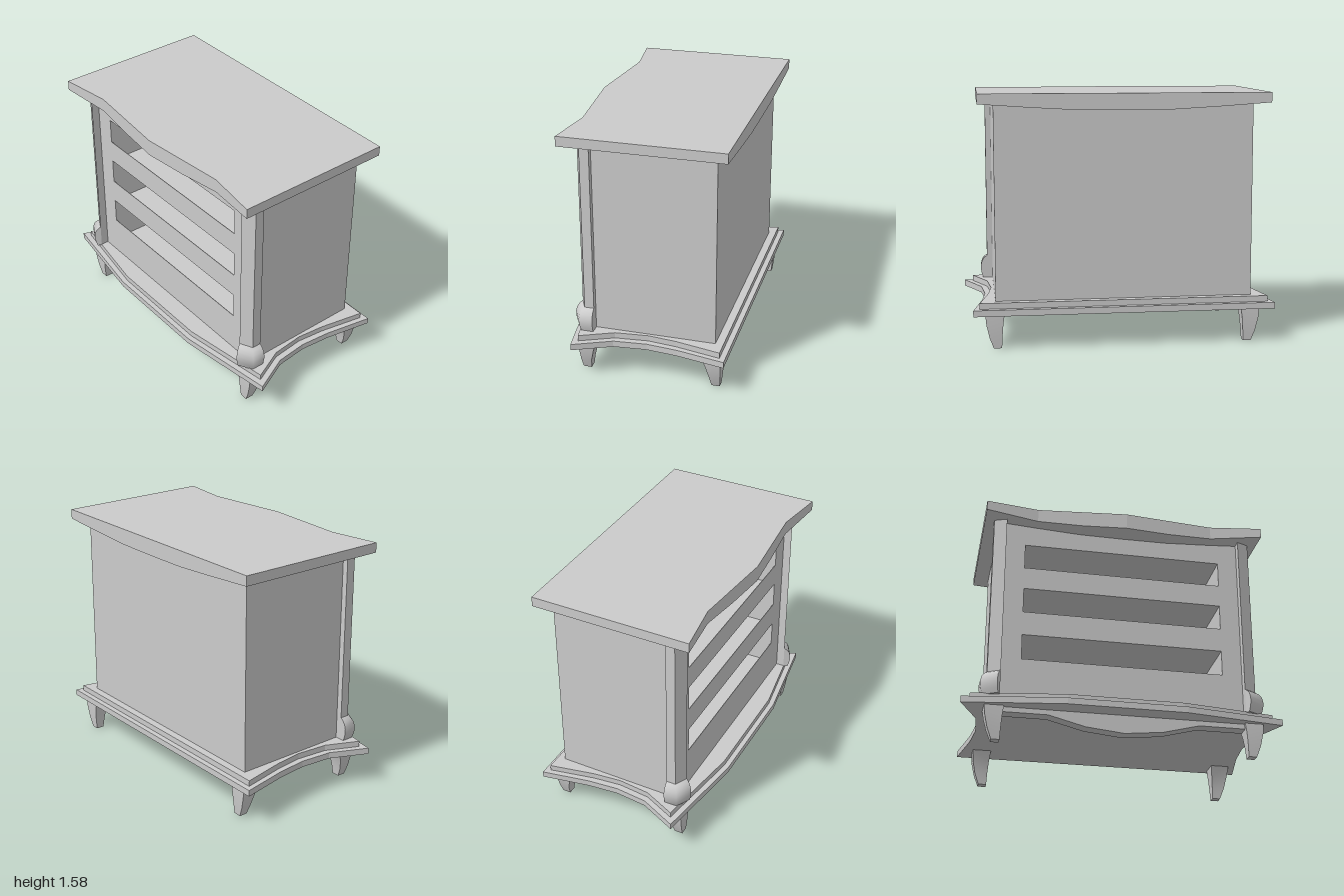
import * as THREE from 'three';
import { toCreasedNormals } from 'three/addons/utils/BufferGeometryUtils.js';

const grey = new THREE.MeshStandardMaterial({ color: 0xcccccc });

// Piecewise linear lookup in a list of [position, value]
function lerpTable(table, t) {
  for (let i = 1; i < table.length; i++) {
    const [a, va] = table[i - 1], [b, vb] = table[i];
    if (t <= b) return va + (vb - va) * Math.max(0, (t - a) / (b - a));
  }
  return table[table.length - 1][1];
}

// Symmetrical outline from the points of its +x half
function mirroredShape(half) {
  const other = half.slice().reverse().filter(([x]) => x > 0).map(([x, y]) => [-x, y]);
  return new THREE.Shape([...half, ...other].map(([x, y]) => new THREE.Vector2(x, y)));
}

// Loft through rings of equal length, with end caps
function loft(rings) {
  const n = rings[0].length, pos = rings.flat(2), index = [];
  for (let r = 0; r < rings.length - 1; r++) {
    for (let i = 0; i < n; i++) {
      const a = r * n + i, b = r * n + (i + 1) % n;
      index.push(a, b, b + n, a, b + n, a + n);
    }
  }
  const last = (rings.length - 1) * n;
  for (let i = 1; i < n - 1; i++) index.push(0, i + 1, i, last, last + i, last + i + 1);
  const g = new THREE.BufferGeometry();
  g.setAttribute('position', new THREE.Float32BufferAttribute(pos, 3));
  g.setIndex(index);
  return g;
}

// Mirror a geometry across x = 0, keeping faces outward
function mirrorX(geometry) {
  const g = geometry.clone().scale(-1, 1, 1), idx = g.index.array;
  for (let i = 0; i < idx.length; i += 3) [idx[i + 1], idx[i + 2]] = [idx[i + 2], idx[i + 1]];
  return g;
}

export function createModel() {
  const model = new THREE.Group();
  const add = (name, geometry, crease = 0.03) => {
    const mesh = new THREE.Mesh(toCreasedNormals(geometry, crease), grey);
    mesh.name = name;
    model.add(mesh);
  };
  const block = (name, x0, x1, y0, y1, z0, z1) => add(name,
    new THREE.BoxGeometry(x1 - x0, y1 - y0, z1 - z0)
      .translate((x0 + x1) / 2, (y0 + y1) / 2, (z0 + z1) / 2));
  // leftShift moves only the left copy outward
  const pair = (name, geometry, crease, leftShift = 0) => {
    add('right' + name, mirrorX(geometry), crease);
    add('left' + name, geometry.translate(leftShift, 0, 0), crease);
  };

  // Table top: serpentine front edge and sagging underside
  const frontEdge = [[0, 0.513], [0.572, 0.457], [0.907, 0.505]];
  const underside = [[0, 1.477], [0.286, 1.479], [0.572, 1.495], [0.907, 1.518]];
  const top = new THREE.BoxGeometry(1.814, 1, 1, 38, 1, 1);
  const p = top.attributes.position;
  for (let i = 0; i < p.count; i++) {
    const x = Math.abs(p.getX(i));
    p.setY(i, p.getY(i) > 0 ? 1.581 : lerpTable(underside, x));
    p.setZ(i, p.getZ(i) > 0 ? lerpTable(frontEdge, x) : -0.523);
  }
  add('tableTop', top);

  // Two stacked base plates with concave sides and bowed front
  const plate = (name, half, y, height) => add(name,
    new THREE.ExtrudeGeometry(mirroredShape(half.map(([x, z]) => [x, -z])),
      { depth: height, bevelEnabled: false }).rotateX(-Math.PI / 2).translate(0, y, 0));
  plate('lowerBasePlate',
    [[0.37, 0.523], [1, 0.43], [0.89, 0.19], [0.87, -0.02], [0.89, -0.22], [0.95, -0.525]], 0.214, 0.04);
  plate('upperBasePlate',
    [[0.36, 0.49], [0.945, 0.4], [0.85, 0.19], [0.83, -0.02], [0.85, -0.2], [0.91, -0.49]], 0.254, 0.037);

  // Thin front panel with three drawer openings
  const front = mirroredShape([[0.77, 0.28], [0.77, 1.51]]);
  for (const y of [0.554, 0.879, 1.194]) {
    front.holes.push(new THREE.Path([[-0.64, y], [-0.64, y + 0.166], [0.64, y + 0.166], [0.64, y]]
      .map(([a, b]) => new THREE.Vector2(a, b))));
  }
  add('frontPanel', new THREE.ExtrudeGeometry(front, { depth: 0.004, bevelEnabled: false })
    .translate(0, 0, 0.368));

  // Case around the drawer compartments
  block('leftSide', 0.64, 0.81, 0.28, 1.515, -0.441, 0.368);
  block('rightSide', -0.81, -0.64, 0.28, 1.515, -0.441, 0.368);
  block('caseBack', -0.64, 0.64, 0.28, 1.51, -0.441, -0.16);
  block('caseFloor', -0.64, 0.64, 0.28, 0.4, -0.16, 0.368);
  block('caseCeiling', -0.64, 0.64, 1.36, 1.5, -0.16, 0.368);
  for (const y of [0.72, 1.045]) block('drawerShelf', -0.64, 0.64, y, y + 0.004, -0.16, 0.368);

  // Chamfered corner posts
  const postPlan = [[0.768, 0.325], [0.768, 0.425], [0.847, 0.385], [0.847, 0.325]];
  pair('CornerPost', loft([0.28, 1.52].map(y => postPlan.map(([x, z]) => [x, y, z]))));

  // Rounded scroll wrapping the foot of each post
  const bulge = [[0.285, 0.028], [0.315, 0.038], [0.345, 0.044], [0.375, 0.044],
    [0.405, 0.036], [0.428, 0.02], [0.443, 0]];
  // Path point and mitred outward direction
  const scrollPath = [[0.845, 0.325, 1, 0], [0.845, 0.385, 0.95, 0.6], [0.768, 0.425, 0.47, 0.9]];
  const scrollRings = scrollPath.map(([x, z, nx, nz]) => [
    ...bulge.map(([y, d]) => [x + nx * d, y, z + nz * d]),
    [x, 0.285, z],
  ]);
  pair('PostScroll', loft(scrollRings), 1.15);

  // Tapered curved legs: [y, inner x, outer x, back z, front z]
  const legFront = [[0, 0.757, 0.808, 0.36, 0.413], [0.07, 0.754, 0.834, 0.35, 0.42],
    [0.15, 0.748, 0.852, 0.33, 0.425], [0.22, 0.739, 0.859, 0.3, 0.426]];
  const leg = sections => loft(sections.map(([y, x0, x1, z0, z1]) =>
    [[x0, y, z0], [x0, y, z1], [x1, y, z1], [x1, y, z0]]));
  pair('FrontLeg', leg(legFront), 0.5, 0.018);
  pair('BackLeg', leg(legFront.map(([y, x0, x1, z0, z1]) => [y, x0, x1, -z1 - 0.062, -z0 - 0.062])),
    0.5, 0.018);

  // Scalloped apron under the base
  add('apron', new THREE.ExtrudeGeometry(
    mirroredShape([[0, 0.097], [0.24, 0.122], [0.47, 0.182], [0.77, 0.182], [0.77, 0.22]]),
    { depth: 0.08, bevelEnabled: false }).translate(0, 0, 0.325));

  return model;
}
